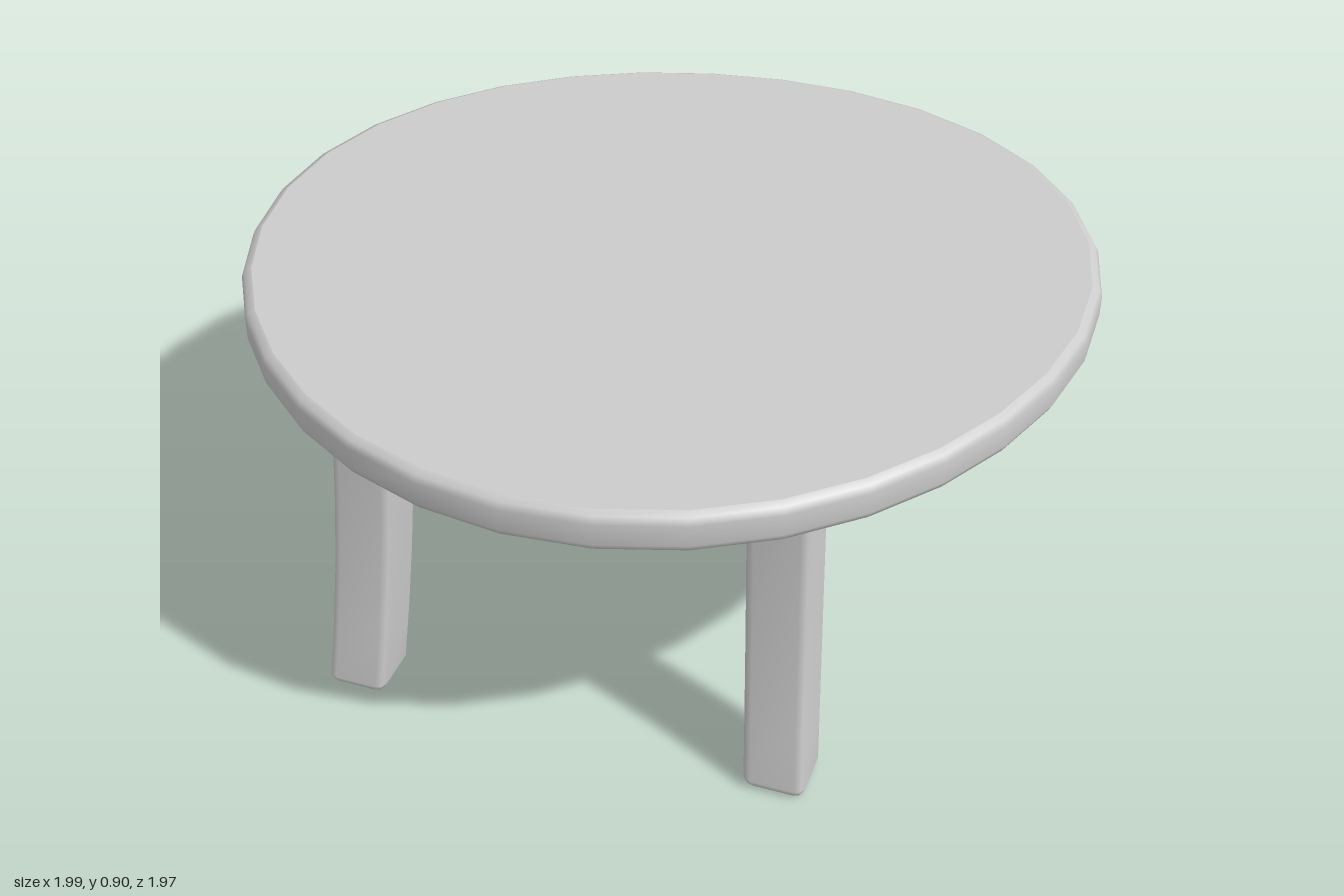
import * as THREE from 'three';

const material = new THREE.MeshStandardMaterial({ color: 0xcccccc });

// Skin a stack of equal-length rings (bottom to top, counterclockwise from above).
// The sides are smooth; the caps have their own vertices so they stay flat.
function loft(rings) {
  const n = rings[0].length;
  const points = rings.flat();
  const index = [];
  for (let r = 0; r < rings.length - 1; r++) {
    for (let i = 0; i < n; i++) {
      const a = r * n + i, b = r * n + (i + 1) % n;
      index.push(a, b, b + n, a, b + n, a + n);
    }
  }
  const addCap = (ring, facesUp) => {
    const start = points.length;
    const centre = new THREE.Vector3();
    ring.forEach(p => centre.addScaledVector(p, 1 / n));
    points.push(...ring, centre);
    for (let i = 0; i < n; i++) {
      const a = start + i, b = start + (i + 1) % n;
      if (facesUp) index.push(start + n, a, b);
      else index.push(start + n, b, a);
    }
  };
  addCap(rings[0], false);
  addCap(rings[rings.length - 1], true);
  const geometry = new THREE.BufferGeometry().setFromPoints(points);
  geometry.setIndex(index);
  geometry.computeVertexNormals();
  return geometry;
}

// Slightly uneven round outline of the tabletop
function topRing(inset, y) {
  const ring = [];
  for (let i = 0; i < 32; i++) {
    const t = i / 32 * Math.PI * 2;
    const r = 0.991 - inset
      + 0.0095 * Math.cos(t) + 0.0223 * Math.sin(t)
      + 0.006 * Math.cos(2 * t) + 0.011 * Math.sin(2 * t)
      - 0.011 * Math.cos(3 * t) + 0.0173 * Math.sin(3 * t);
    ring.push(new THREE.Vector3(r * Math.cos(t), y, -r * Math.sin(t)));
  }
  return ring;
}

// Square leg section with rounded corners
function legRing(centre, half, radius) {
  const ring = [];
  for (let corner = 0; corner < 4; corner++) {
    const mid = (corner + 0.5) * Math.PI / 2;
    const c = (half - radius) * Math.SQRT2;
    for (const step of [-1, 0, 1]) {
      const t = mid + step * Math.PI / 4;
      ring.push(new THREE.Vector3(
        centre.x + c * Math.cos(mid) + radius * Math.cos(t),
        centre.y,
        centre.z - c * Math.sin(mid) - radius * Math.sin(t)));
    }
  }
  return ring;
}

// Leg swept along a curve through its top, middle and foot positions [x, z]
function legGeometry(top, middle, foot) {
  const a = new THREE.Vector3(foot[0], 0, foot[1]);
  const m = new THREE.Vector3(middle[0], 0.41, middle[1]);
  const b = new THREE.Vector3(top[0], 0.82, top[1]);
  const control = m.multiplyScalar(2).addScaledVector(a, -0.5).addScaledVector(b, -0.5);
  const path = new THREE.QuadraticBezierCurve3(a, control, b);
  const rings = [legRing(a, 0.052, 0.012), legRing(path.getPoint(0.012), 0.066, 0.018)];
  for (const t of [0.03, 0.2, 0.4, 0.6, 0.8, 1]) {
    rings.push(legRing(path.getPoint(t), 0.073, 0.022));
  }
  return loft(rings);
}

export function createModel() {
  const group = new THREE.Group();
  group.name = 'roundTable';
  const add = (name, geometry) => {
    const mesh = new THREE.Mesh(geometry, material);
    mesh.name = name;
    group.add(mesh);
  };

  // Disc with a rounded rim: [inset, height]
  const rim = [[0.024, 0.805], [0.008, 0.812], [0, 0.828], [0, 0.877], [0.008, 0.893], [0.024, 0.9]];
  add('tabletop', loft(rim.map(([inset, y]) => topRing(inset, y))));

  // Four legs that curve outward to the feet, each set slightly differently
  add('frontLeftLeg', legGeometry([0.48, 0.578], [0.493, 0.596], [0.515, 0.65]));
  add('frontRightLeg', legGeometry([-0.476, 0.578], [-0.495, 0.596], [-0.522, 0.65]));
  add('backLeftLeg', legGeometry([0.528, -0.622], [0.522, -0.63], [0.555, -0.675]));
  add('backRightLeg', legGeometry([-0.468, -0.545], [-0.474, -0.565], [-0.483, -0.6]));
  return group;
}
